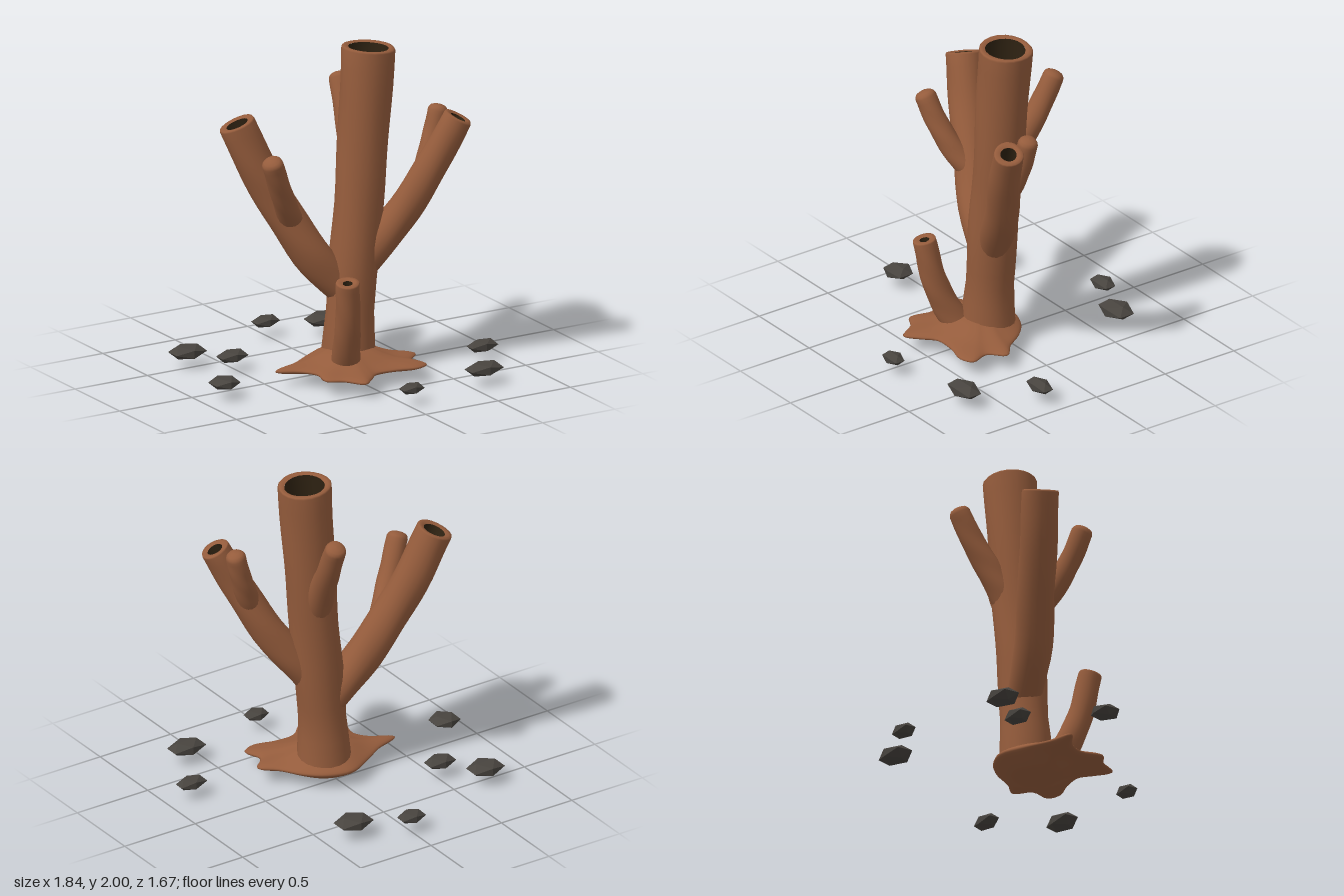
import * as THREE from 'three';
import { mergeVertices } from 'three/addons/utils/BufferGeometryUtils.js';

const V = (x, y, z) => new THREE.Vector3(x, y, z);

// Skin over a row of rings { c, n, b, r }
function loft(rings, sides = 20) {
  const pos = [], idx = [];
  rings.forEach(({ c, n, b, r }, i) => {
    for (let j = 0; j < sides; j++) {
      const a = (j / sides) * Math.PI * 2;
      const k = r * (1 + 0.02 * Math.sin(3 * a + i * 0.9));
      const p = c.clone().addScaledVector(n, k * Math.cos(a)).addScaledVector(b, k * Math.sin(a));
      pos.push(p.x, p.y, p.z);
      if (i === 0) continue;
      const j2 = (j + 1) % sides, lo = (i - 1) * sides, hi = i * sides;
      idx.push(lo + j, lo + j2, hi + j, lo + j2, hi + j2, hi + j);
    }
  });
  const g = new THREE.BufferGeometry();
  g.setAttribute('position', new THREE.Float32BufferAttribute(pos, 3));
  g.setIndex(idx);
  g.computeVertexNormals();
  return g;
}

export function createModel() {
  const model = new THREE.Group();
  const brown = new THREE.MeshStandardMaterial({ color: 0x955c3c });
  const hollowDark = new THREE.MeshStandardMaterial({ color: 0x2e2212 });
  const stoneGrey = new THREE.MeshStandardMaterial({ color: 0x48443f, flatShading: true });

  function add(parent, name, geometry, material) {
    const m = new THREE.Mesh(geometry, material);
    m.name = name;
    parent.add(m);
    return m;
  }

  // Curved stem; hole is the inner/outer radius ratio at the tip (0 = rounded tip)
  function stem(name, pts, radii, hole = 0, depth = 0.15, floor = hollowDark) {
    const group = new THREE.Group();
    group.name = name;
    model.add(group);
    const steps = 18;
    const curve = new THREE.CatmullRomCurve3(pts.map(p => V(...p)));
    const f = curve.computeFrenetFrames(steps);
    const rings = [];
    for (let i = 0; i <= steps; i++) {
      const t = (i / steps) * (radii.length - 1);
      const k = Math.min(Math.floor(t), radii.length - 2);
      rings.push({
        c: curve.getPointAt(i / steps), n: f.normals[i], b: f.binormals[i],
        r: THREE.MathUtils.lerp(radii[k], radii[k + 1], t - k),
      });
    }
    const end = rings[steps], T = f.tangents[steps];
    const tip = (offset, scale) => ({
      c: end.c.clone().addScaledVector(T, offset), n: end.n, b: end.b, r: end.r * scale,
    });
    if (hole) {
      // rounded rim, dark inner wall and floor
      const lip = tip(0.004, hole);
      rings.push(tip(0.01, 0.96), tip(0.012, (0.96 + hole) / 2), lip);
      add(group, 'hollowWall', loft([lip, tip(-0.03, hole), tip(-depth, hole * 0.9)]), hollowDark);
      add(group, 'hollowFloor', loft([tip(-depth, hole * 0.92), tip(-depth - 0.02, 0.5 * hole), tip(-depth - 0.02, 0.001)]), floor);
    } else {
      rings.push(tip(0.015, 0.93), tip(0.028, 0.75), tip(0.036, 0.4), tip(0.038, 0.001));
    }
    add(group, 'stemSkin', loft(rings), brown);
  }

  stem('trunk',
    [[0.03, 0.08, 0.08], [0.035, 0.3, 0.08], [0.075, 0.75, 0.08], [0.115, 1.15, 0.075], [0.18, 1.985, 0.065]],
    [0.165, 0.142, 0.148, 0.146, 0.15, 0.155, 0.16], 0.75, 0.3, brown);
  stem('rightBranch',
    [[0.03, 0.5, 0.06], [-0.17, 0.74, 0.01], [-0.32, 1.0, -0.06], [-0.47, 1.3, -0.13], [-0.575, 1.57, -0.18]],
    [0.1, 0.115, 0.112, 0.112, 0.11], 0.62);
  stem('rightBranchTwig',
    [[-0.28, 0.94, -0.04], [-0.37, 1.08, 0.04], [-0.46, 1.25, 0.1], [-0.525, 1.4, 0.135]],
    [0.075, 0.07, 0.066, 0.064]);
  stem('leftBranch',
    [[0.06, 0.6, 0.08], [0.2, 0.8, 0.14], [0.345, 1.01, 0.21], [0.49, 1.3, 0.3], [0.615, 1.56, 0.36]],
    [0.09, 0.105, 0.1, 0.095, 0.088], 0.55);
  stem('leftBranchTwig',
    [[0.44, 1.18, 0.26], [0.5, 1.32, 0.22], [0.55, 1.46, 0.2], [0.58, 1.57, 0.195]],
    [0.075, 0.067, 0.062, 0.06]);
  stem('backBranch',
    [[0.12, 1.15, 0.03], [0.15, 1.35, -0.08], [0.175, 1.52, -0.18], [0.19, 1.71, -0.275]],
    [0.09, 0.08, 0.07, 0.064]);
  stem('frontBranch',
    [[-0.07, 0.1, 0.22], [-0.11, 0.24, 0.29], [-0.14, 0.42, 0.355], [-0.17, 0.675, 0.4]],
    [0.09, 0.08, 0.074, 0.07], 0.42, 0.08);

  // Spreading foot: a sphere pulled out to a lobed outline, thick only in the middle
  const outline = new THREE.CatmullRomCurve3([
    [-0.48, 0.09], [-0.36, 0.17], [-0.3, 0.26], [-0.32, 0.4], [-0.23, 0.46], [-0.15, 0.57],
    [-0.07, 0.51], [0.01, 0.44], [0.15, 0.44], [0.28, 0.47], [0.36, 0.43], [0.33, 0.31],
    [0.41, 0.22], [0.32, 0.13], [0.23, 0], [0.12, -0.09], [-0.03, -0.13], [-0.18, -0.06], [-0.33, 0.03],
  ].map(([x, z]) => V(x, 0, z)), true);
  let foot = new THREE.SphereGeometry(1, 76, 20);
  const p = foot.attributes.position, uv = foot.attributes.uv;
  for (let i = 0; i < p.count; i++) {
    const s = Math.hypot(p.getX(i), p.getZ(i)), o = outline.getPoint(uv.getX(i) % 1);
    const dx = s * o.x, dz = s * (o.z - 0.12), r = Math.hypot(dx, dz);
    const h = 0.04 + 0.055 * Math.exp(-Math.pow(r / 0.22, 4));
    p.setXYZ(i, dx, 0.1 + p.getY(i) * h, 0.12 + dz);
  }
  foot.deleteAttribute('uv');
  foot.deleteAttribute('normal');
  foot = mergeVertices(foot, 1e-5);
  foot.computeVertexNormals();
  add(model, 'foot', foot, brown);

  // Scattered pebbles: x, z, half width, half depth
  [
    [-0.71, -0.52, 0.105, 0.08], [-0.01, -0.78, 0.08, 0.055], [0.31, -0.645, 0.11, 0.08],
    [-0.53, -0.31, 0.09, 0.06], [-0.84, 0.105, 0.083, 0.078], [0.83, 0.29, 0.09, 0.052],
    [0.605, 0.675, 0.11, 0.07], [0.04, 0.78, 0.07, 0.05],
  ].forEach(([x, z, w, d]) => {
    const stone = add(model, 'pebble', new THREE.IcosahedronGeometry(1 / 0.85, 0), stoneGrey);
    stone.position.set(x, 0.1, z);
    stone.scale.set(w, 0.016 + w * 0.22, d);
  });

  return model;
}
